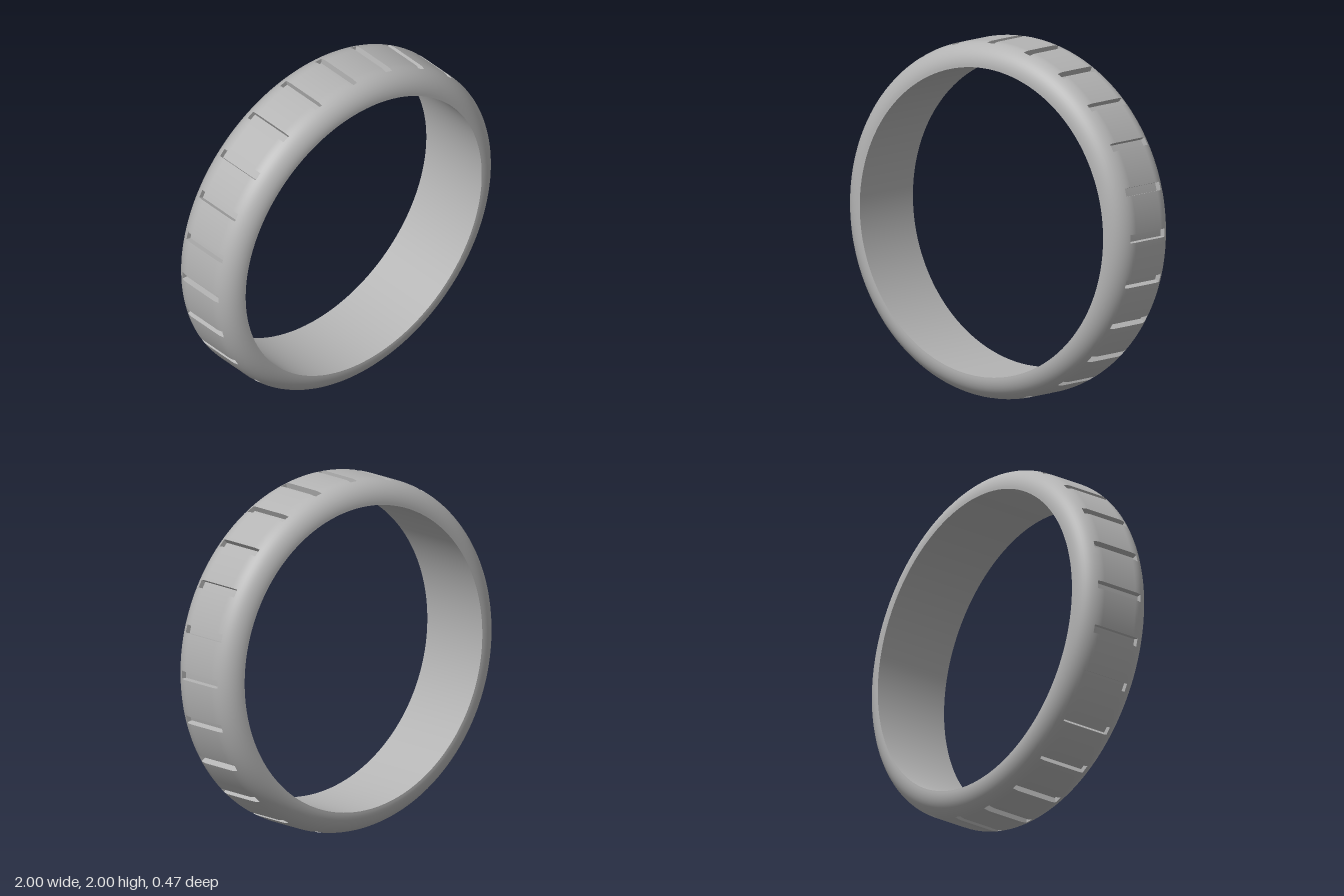
import * as THREE from 'three';

const OUTER = 1, INNER = 0.865, HALF_W = 0.233, CORNER = 0.125;
const GROOVES = 24, GROOVE_HALF_Z = 0.15, GROOVE_HALF_A = 0.0235, FLOOR = 0.963;
const LAND_STEPS = 6;

// Profile point: z, radius and the normal (nz, nr)
const zc = HALF_W - CORNER, rc = OUTER - CORNER;
const onCorner = (t, s = 1) => ({
  z: s * (zc + CORNER * Math.sin(t)), r: rc + CORNER * Math.cos(t),
  nz: s * Math.sin(t), nr: Math.cos(t),
});
const tEdge = Math.asin((GROOVE_HALF_Z - zc) / CORNER);
const arc = (t0, t1, n, s) =>
  Array.from({ length: n + 1 }, (_, i) => onCorner(t0 + (t1 - t0) * i / n, s));

// Straight profile piece with a hard, flat normal
function straight(z0, r0, z1, r1) {
  const l = Math.hypot(z1 - z0, r1 - r0);
  const nz = -(r1 - r0) / l, nr = (z1 - z0) / l;
  return [{ z: z0, r: r0, nz, nr }, { z: z1, r: r1, nz, nr }];
}

// Collects quads and turns them into one geometry
class Builder {
  constructor() { this.pos = []; this.nor = []; this.idx = []; }
  quad(points, normals) {
    const b = this.pos.length / 3;
    points.forEach((p) => this.pos.push(...p));
    normals.forEach((n) => this.nor.push(...n));
    this.idx.push(b, b + 1, b + 2, b, b + 2, b + 3);
  }
  // Sweep a profile around the ring axis through the given angles
  sweep(profile, angles) {
    const P = (p, a) => [p.r * Math.cos(a), p.r * Math.sin(a) + OUTER, p.z];
    const N = (p, a) => [p.nr * Math.cos(a), p.nr * Math.sin(a), p.nz];
    for (let i = 0; i + 1 < angles.length; i++) {
      for (let j = 0; j + 1 < profile.length; j++) {
        const c = [[profile[j], angles[i]], [profile[j], angles[i + 1]],
          [profile[j + 1], angles[i + 1]], [profile[j + 1], angles[i]]];
        this.quad(c.map((q) => P(...q)), c.map((q) => N(...q)));
      }
    }
  }
  // Radial wall from the groove floor to the tread, facing +angle or -angle
  wall(profile, a, s) {
    const P = (r, z) => [r * Math.cos(a), r * Math.sin(a) + OUTER, z];
    const n = [-s * Math.sin(a), s * Math.cos(a), 0];
    for (let j = 0; j + 1 < profile.length; j++) {
      const p = profile[j], q = profile[j + 1];
      const c = [P(FLOOR, p.z), P(FLOOR, q.z), P(q.r, q.z), P(p.r, p.z)];
      this.quad(s > 0 ? c : c.reverse(), [n, n, n, n]);
    }
  }
  mesh(name, material) {
    const g = new THREE.BufferGeometry();
    g.setAttribute('position', new THREE.Float32BufferAttribute(this.pos, 3));
    g.setAttribute('normal', new THREE.Float32BufferAttribute(this.nor, 3));
    g.setIndex(this.idx);
    const m = new THREE.Mesh(g, material);
    m.name = name;
    return m;
  }
}

export function createModel() {
  const group = new THREE.Group();
  group.name = 'groovedRing';
  const grey = new THREE.MeshStandardMaterial({ color: 0xb4b4b4 });
  grey.name = 'plain grey';

  // Angles of each groove and of the tread block that follows it
  const pitch = Math.PI * 2 / GROOVES;
  const grooves = [], blocks = [], all = [];
  for (let k = 0; k < GROOVES; k++) {
    const a0 = k * pitch - GROOVE_HALF_A, a1 = k * pitch + GROOVE_HALF_A;
    const land = pitch - 2 * GROOVE_HALF_A;
    const block = Array.from({ length: LAND_STEPS + 1 }, (_, i) => a1 + land * i / LAND_STEPS);
    grooves.push([a0, a1]);
    blocks.push(block);
    all.push(a0, ...block.slice(0, -1));
  }
  all.push(all[0] + Math.PI * 2);

  // Rounded shoulders and flat rims on both sides
  const shoulders = new Builder();
  shoulders.sweep([...arc(tEdge, Math.PI / 2, 9, 1),
    { z: HALF_W, r: INNER, nz: 1, nr: 0 }], all);
  shoulders.sweep([{ z: -HALF_W, r: INNER, nz: -1, nr: 0 },
    ...arc(Math.PI / 2, tEdge, 9, -1)], all);
  group.add(shoulders.mesh('shoulders', grey));

  // Inner bore
  const bore = new Builder();
  bore.sweep(straight(HALF_W, INNER, -HALF_W, INNER), all);
  group.add(bore.mesh('innerBore', grey));

  // Tread blocks between the grooves
  const treadProfile = [...arc(tEdge, 0, 3, -1), ...arc(0, tEdge, 3, 1)];
  const tread = new Builder();
  blocks.forEach((b) => tread.sweep(treadProfile, b));
  group.add(tread.mesh('treadBlocks', grey));

  // Recessed grooves: end walls, floor and side walls
  const cut = new Builder();
  const g = GROOVE_HALF_Z, top = onCorner(tEdge).r;
  for (const [a0, a1] of grooves) {
    cut.sweep(straight(-g, top, -g, FLOOR), [a0, a1]);
    cut.sweep(straight(-g, FLOOR, g, FLOOR), [a0, a1]);
    cut.sweep(straight(g, FLOOR, g, top), [a0, a1]);
    cut.wall(treadProfile, a0, 1);
    cut.wall(treadProfile, a1, -1);
  }
  group.add(cut.mesh('treadGrooves', grey));

  return group;
}
